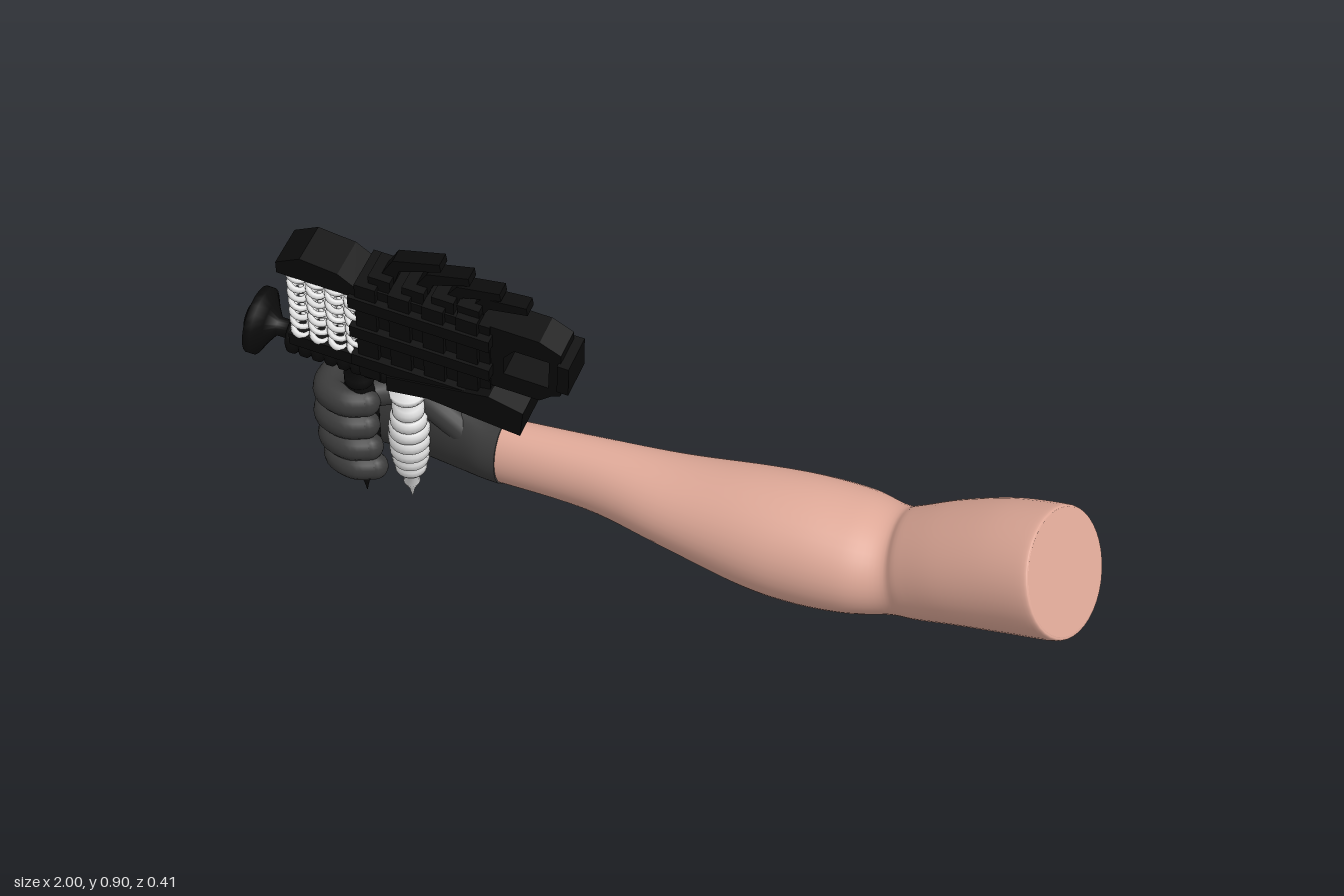
import * as THREE from 'three';

const mat = (name, color) => Object.assign(new THREE.MeshStandardMaterial({ color }), { name });

export function createModel() {
  const skin = mat('skin', 0xdfa998);
  const glove = mat('glove grey', 0x3b3b3b);
  const black = mat('black metal', 0x0b0b0b);
  const white = mat('white metal', 0xe2e2e2);
  const model = new THREE.Group();
  model.name = 'gloved arm with tattoo machine';

  const add = (parent, name, geo, material, x = 0, y = 0, z = 0) => {
    const m = new THREE.Mesh(geo, material);
    m.name = name;
    m.position.set(x, y, z);
    parent.add(m);
    return m;
  };

  // Smooth body through elliptical sections [x, y, z, ry, rz, tilt, yaw] listed towards +x
  const loft = (sections, steps = 6, sides = 40) => {
    const pos = [], idx = [], rings = [];
    const cr = (a, b, c, d, t) => b + 0.5 * t * (c - a + t * (2 * a - 5 * b + 4 * c - d + t * (3 * (b - c) + d - a)));
    const n = sections.length;
    for (let i = 0; i < n - 1; i++) {
      const q = [-1, 0, 1, 2].map(k => sections[Math.min(n - 1, Math.max(0, i + k))]);
      for (let s = 0; s < steps; s++) rings.push(q[1].map((_, k) => cr(q[0][k], q[1][k], q[2][k], q[3][k], s / steps)));
    }
    rings.push(sections[n - 1]);
    const ring = ([x, y, z, ry, rz, tilt, yaw]) => {
      for (let j = 0; j < sides; j++) {
        const a = j / sides * Math.PI * 2, c = Math.cos(a) * ry, d = Math.sin(a) * rz;
        pos.push(x - c * Math.sin(tilt) - d * Math.sin(yaw), y + c * Math.cos(tilt), z + d * Math.cos(yaw));
      }
    };
    rings.forEach(ring);
    for (let i = 0; i < rings.length - 1; i++) for (let j = 0; j < sides; j++) {
      const a = i * sides + j, b = i * sides + (j + 1) % sides;
      idx.push(a, b, a + sides, b, b + sides, a + sides);
    }
    // Flat end caps on their own vertices
    [rings[0], rings[rings.length - 1]].forEach((r, e) => {
      const base = pos.length / 3;
      ring(r);
      pos.push(r[0], r[1], r[2]);
      for (let j = 0; j < sides; j++) {
        const a = base + j, b = base + (j + 1) % sides;
        idx.push(base + sides, e ? a : b, e ? b : a);
      }
    });
    const g = new THREE.BufferGeometry();
    g.setAttribute('position', new THREE.Float32BufferAttribute(pos, 3));
    g.setIndex(idx);
    g.computeVertexNormals();
    return g;
  };

  // Bare arm: forearm, elbow and upper arm
  add(model, 'arm', loft([
    [-0.43, 0.26, -0.07, 0.08, 0.068, 0, 0],
    [-0.2, 0.256, -0.07, 0.086, 0.083, 0, 0],
    [0, 0.245, -0.06, 0.1, 0.12, 0, 0],
    [0.2, 0.238, -0.05, 0.131, 0.15, 0, 0],
    [0.33, 0.235, -0.05, 0.14, 0.16, 0, 0],
    [0.45, 0.235, -0.052, 0.13, 0.16, 0.05, 0],
    [0.545, 0.24, -0.05, 0.113, 0.14, 0.2, 0],
    [0.6, 0.26, -0.035, 0.122, 0.14, 0.34, 0.05],
    [0.7, 0.305, -0.016, 0.134, 0.155, 0.39, 0.1],
    [0.82, 0.352, 0.01, 0.146, 0.163, 0.39, 0.15],
    [0.924, 0.388, 0.038, 0.147, 0.163, 0.39, 0.17],
    [0.938, 0.395, 0.041, 0.139, 0.155, 0.39, 0.17],
  ]), skin);

  // Gloved palm and cuff
  const hand = new THREE.Group();
  hand.name = 'gloved hand';
  model.add(hand);
  add(hand, 'palm', loft([
    [-0.838, 0.285, -0.105, 0.07, 0.02, 0, 0],
    [-0.82, 0.285, -0.108, 0.1, 0.043, 0, 0],
    [-0.76, 0.285, -0.11, 0.115, 0.053, 0, 0],
    [-0.65, 0.28, -0.103, 0.11, 0.052, 0, 0],
    [-0.54, 0.265, -0.085, 0.093, 0.058, 0, 0],
    [-0.47, 0.26, -0.073, 0.083, 0.068, 0, 0],
    [-0.418, 0.26, -0.07, 0.084, 0.073, 0, 0],
  ]), glove);

  // Rounded digit following a path
  const digit = (name, pts, r) => {
    const p = pts.map(a => new THREE.Vector3(...a));
    add(hand, name, new THREE.TubeGeometry(new THREE.CatmullRomCurve3(p), 28, r, 16), glove);
    for (const e of [p[0], p[p.length - 1]]) add(hand, name + 'End', new THREE.SphereGeometry(r, 16, 12), glove, e.x, e.y, e.z);
  };
  [[0.378, 0], [0.312, -0.004], [0.25, 0.002], [0.195, 0.012]].forEach(([y, dx], i) => {
    digit('finger' + (i + 1), [
      [-0.77, y, -0.118], [-0.825 + dx, y + 0.003, -0.105], [-0.842 + dx, y + 0.004, -0.04],
      [-0.825 + dx, y, 0.012], [-0.775 + dx, y - 0.006, 0.028], [-0.735 + dx, y - 0.01, 0.008],
    ], 0.036 - i * 0.001);
  });
  digit('thumb', [[-0.5, 0.285, -0.06], [-0.57, 0.335, -0.06], [-0.65, 0.37, -0.068], [-0.71, 0.374, -0.04], [-0.765, 0.37, 0.0]], 0.035);

  // Tattoo machine, leaning with its needles: local y runs up the needles
  const machine = new THREE.Group();
  machine.name = 'tattoo machine';
  machine.position.set(-0.805, 0.01, -0.1);
  machine.rotation.set(0.25, 0, -0.135);
  model.add(machine);
  const box = (name, x0, x1, y0, y1, d) =>
    add(machine, name, new THREE.BoxGeometry(x1 - x0, y1 - y0, d), black, (x0 + x1) / 2, (y0 + y1) / 2, 0);
  const lathe = (name, pts, material, x, y = 0) =>
    add(machine, name, new THREE.LatheGeometry(pts.map(p => new THREE.Vector2(...p)), 24), material, x, y);
  const plate = (name, pts, d, hole) => {
    const shape = new THREE.Shape(pts.map(p => new THREE.Vector2(...p)));
    if (hole) shape.holes.push(new THREE.Path(hole.map(p => new THREE.Vector2(...p))));
    return add(machine, name, new THREE.ExtrudeGeometry(shape, { depth: d, bevelEnabled: false }), black, 0, 0, -d / 2);
  };

  // Black needle and grip
  lathe('blackNeedle', [[0, 0], [0.007, 0.04], [0.02, 0.075], [0.011, 0.1], [0.02, 0.13], [0.04, 0.17],
    [0.042, 0.4], [0.024, 0.42], [0.035, 0.44], [0.035, 0.465], [0.018, 0.475], [0.018, 0.54]], black, 0);

  // White needle with ribbed grip and collar
  const grip = [[0, 0.038], [0.007, 0.075], [0.02, 0.105], [0.012, 0.125], [0.03, 0.15]];
  for (let i = 0; i < 7; i++) {
    const y = 0.155 + i * 0.036, r = 0.038 + 0.012 * Math.sin(i / 6 * Math.PI);
    grip.push([r - 0.008, y], [r, y + 0.008], [r, y + 0.026], [r - 0.008, y + 0.034]);
  }
  grip.push([0.018, 0.42], [0.018, 0.438], [0.043, 0.442], [0.043, 0.458], [0.022, 0.464], [0.018, 0.48], [0.018, 0.54]);
  lathe('whiteNeedle', grip, white, 0.12);

  // Ribbed lower bar ending in a flared knob
  const bar = [[0, -0.268], [0.035, -0.268], [0.055, -0.255], [0.08, -0.25], [0.08, -0.232], [0.05, -0.215], [0.022, -0.195], [0.022, -0.165]];
  for (let i = 0; i < 9; i++) bar.push([0.042, -0.162 + i * 0.032], [0.05, -0.155 + i * 0.032], [0.05, -0.142 + i * 0.032], [0.042, -0.135 + i * 0.032]);
  bar.push([0, 0.125]);
  lathe('lowerBar', bar, black, 0, 0.537).rotation.z = -Math.PI / 2;
  box('coilSeat', -0.145, 0.06, 0.555, 0.592, 0.1);

  // White coil springs in two rows
  const helix = new THREE.Curve();
  helix.getPoint = (t, v = new THREE.Vector3()) => {
    const a = t * Math.PI * 14;
    return v.set(Math.cos(a) * 0.019, t * 0.225, Math.sin(a) * 0.019);
  };
  const coil = new THREE.TubeGeometry(helix, 112, 0.0075, 6);
  for (let i = 0; i < 4; i++) for (const z of [-0.026, 0.026]) add(machine, 'coilSpring', coil, white, -0.122 + i * 0.046, 0.585, z);

  // Cap above the springs
  plate('coilCap', [[-0.16, 0.8], [0.03, 0.8], [0.03, 0.835], [-0.01, 0.862], [-0.1, 0.872], [-0.16, 0.835]], 0.1);

  // Main frame with vertical bands and cross rails
  box('frame', 0.022, 0.345, 0.54, 0.835, 0.085);
  [0.055, 0.135, 0.215, 0.295].forEach(x => box('frameBand', x - 0.025, x + 0.025, 0.53, 0.85, 0.108));
  [0.59, 0.69, 0.79].forEach(y => box('frameRail', 0.015, 0.35, y - 0.018, y + 0.018, 0.122));
  plate('frameFoot', [[0.1, 0.57], [0.1, 0.52], [0.2, 0.54], [0.33, 0.525], [0.425, 0.515], [0.432, 0.598], [0.35, 0.62]], 0.13);

  // Open rear bracket
  plate('rearBracket', [[0.34, 0.63], [0.46, 0.63], [0.49, 0.66], [0.51, 0.67], [0.51, 0.81], [0.49, 0.82], [0.46, 0.835], [0.34, 0.835]],
    0.075, [[0.375, 0.685], [0.375, 0.74], [0.4, 0.775], [0.482, 0.775], [0.482, 0.685]]);
  box('bracketPad', 0.505, 0.532, 0.695, 0.785, 0.095);

  // Swept-back fins on top
  [[0.075, 0.22, 0.962], [0.155, 0.287, 0.946], [0.225, 0.359, 0.928], [0.285, 0.421, 0.908]].forEach(([x, tx, ty]) => {
    const ky = 0.84 + (ty - 0.84) * 0.55;
    plate('topFin', [[x - 0.015, 0.83], [x + 0.03, 0.83], [x + 0.048, ky - 0.012], [tx + 0.003, ty - 0.022], [tx, ty], [x + 0.034, ky + 0.018]], 0.035);
    box('finRoot', x - 0.018, x + 0.034, 0.82, 0.872, 0.075);
  });

  return model;
}
